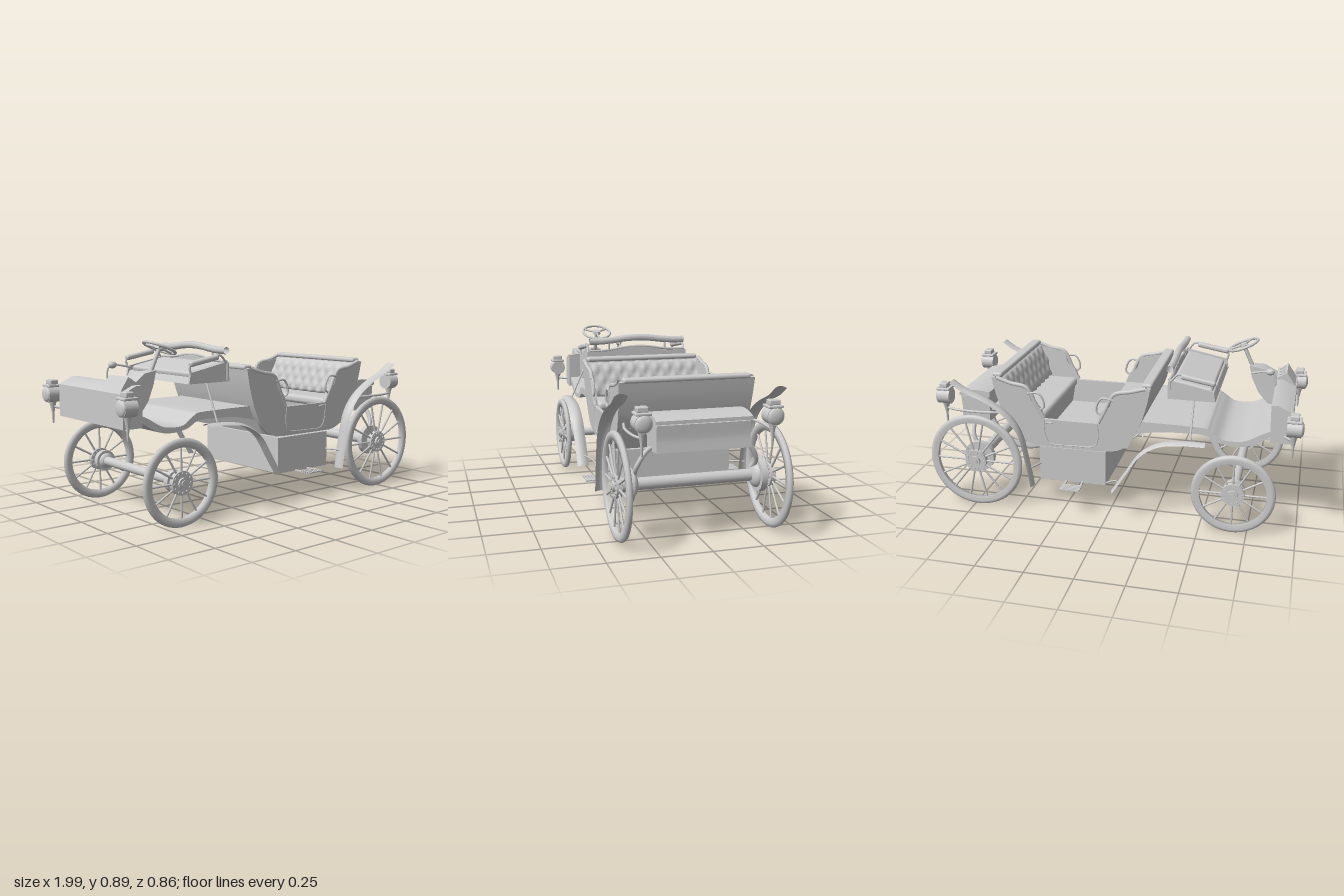
import * as THREE from 'three';
import { toCreasedNormals } from 'three/addons/utils/BufferGeometryUtils.js';
import { RoundedBoxGeometry } from 'three/addons/geometries/RoundedBoxGeometry.js';

const mat = new THREE.MeshStandardMaterial({ color: 0xcccccc, side: THREE.DoubleSide });
const V = (x, y, z) => new THREE.Vector3(x, y, z);
const v2 = pts => pts.map(p => new THREE.Vector2(...p));

function add(parent, name, geo, x = 0, y = 0, z = 0) {
  const m = new THREE.Mesh(geo, mat);
  m.name = name;
  m.position.set(x, y, z);
  parent.add(m);
  return m;
}

const box = (w, h, d, r = 0) => r ? new RoundedBoxGeometry(w, h, d, 3, r) : new THREE.BoxGeometry(w, h, d);
const tube = (pts, r) =>
  new THREE.TubeGeometry(new THREE.CatmullRomCurve3(pts.map(p => V(...p)), false, 'centripetal'), pts.length * 7, r, 8);
const rod = (a, b, r) => new THREE.TubeGeometry(new THREE.LineCurve3(V(...a), V(...b)), 1, r, 8);

// Cylinder lying along z
const drum = (r1, r2, len) => new THREE.CylinderGeometry(r1, r2, len, 28).rotateX(Math.PI / 2);

// Side outline in x/y given a width along z
function slab(outline, zc, depth) {
  const shape = outline instanceof THREE.Shape ? outline : new THREE.Shape(v2(outline));
  const g = new THREE.ExtrudeGeometry(shape, { depth, bevelEnabled: false, curveSegments: 10 });
  return toCreasedNormals(g.translate(0, 0, zc - depth / 2), 0.6);
}

// Outline of a curved plate: a smooth curve plus its offset
function plate(pts, t) {
  const c = new THREE.SplineCurve(v2(pts)), a = [], b = [];
  for (let i = 0; i <= 24; i++) {
    const p = c.getPoint(i / 24), d = c.getTangent(i / 24);
    a.push([p.x, p.y]);
    b.unshift([p.x - d.y * t, p.y + d.x * t]);
  }
  return [...a, ...b];
}

// Tub sides lean outwards with height
const flare = y => 1 + (y - 0.36) * 0.1;
function lean(g) {
  const p = g.attributes.position;
  for (let i = 0; i < p.count; i++) p.setZ(i, p.getZ(i) * flare(p.getY(i)));
  return toCreasedNormals(g, 0.6);
}

// Mudguard: open strip with an arched cross-section
function mudguard(pts, zc) {
  const c = new THREE.SplineCurve(v2(pts)), g = new THREE.PlaneGeometry(1, 1, 8, 28), p = g.attributes.position;
  for (let i = 0; i < p.count; i++) {
    const u = p.getX(i) * 2, t = p.getY(i) + 0.5, q = c.getPoint(t), d = c.getTangent(t);
    const s = 0.012 * u * u;
    p.setXYZ(i, q.x + d.y * s, q.y - d.x * s, zc + u * 0.032);
  }
  g.computeVertexNormals();
  return g;
}

function wheel(parent, name, x, R, s, spokes) {
  const w = new THREE.Group();
  w.name = name;
  w.position.set(x, R, s * 0.386);
  parent.add(w);
  const prof = v2([[R - 0.045, -0.011], [R - 0.02, -0.015], [R - 0.005, -0.011], [R, 0], [R - 0.005, 0.011],
    [R - 0.02, 0.015], [R - 0.045, 0.011], [R - 0.045, -0.011]]);
  add(w, 'rim', new THREE.LatheGeometry(prof, 56).rotateX(Math.PI / 2));
  for (let i = 0; i < spokes; i++) {
    const a = i / spokes * Math.PI * 2, c = Math.cos(a), n = Math.sin(a);
    add(w, 'spoke', rod([c * 0.03, n * 0.03, 0], [c * (R - 0.04), n * (R - 0.04), 0], 0.0055));
    add(w, 'hubBolt', drum(0.006, 0.006, 0.036), c * 0.048, n * 0.048);
  }
  add(w, 'hubFlange', drum(0.06, 0.06, 0.026));
  add(w, 'hub', drum(0.028, 0.028, 0.05));
  add(w, 'hubCap', drum(0.016, 0.016, 0.062));
}

function axle(parent, name, x, y, r, brake) {
  add(parent, name, drum(r, r, 0.66), x, y, 0);
  for (const s of [-1, 1]) {
    add(parent, 'brakeDrum', drum(brake, brake, 0.03), x, y, s * 0.332);
    add(parent, 'axleBell', new THREE.SphereGeometry(brake * 0.75, 24, 14).scale(1, 1, 0.55), x, y, s * 0.318);
    add(parent, 'stub', drum(0.035, 0.035, 0.05), x, y, s * 0.36);
  }
}

function lamp(parent, name, x, z, dir) {
  const l = new THREE.Group();
  l.name = name;
  l.position.set(x, 0.6, z);
  parent.add(l);
  add(l, 'lampBody', new THREE.CylinderGeometry(0.043, 0.043, 0.07, 28).rotateZ(Math.PI / 2));
  add(l, 'lampLens', new THREE.SphereGeometry(0.04, 24, 14).scale(0.38, 1, 1), dir * 0.034);
  add(l, 'lampRoof', box(0.075, 0.014, 0.075, 0.005), 0, 0.044);
  add(l, 'lampChimney', box(0.045, 0.026, 0.055, 0.006), 0, 0.062);
  const tail = v2([[0.001, -0.155], [0.005, -0.15], [0.007, -0.1], [0.013, -0.065], [0.02, -0.04]]);
  add(l, 'lampTail', new THREE.LatheGeometry(tail, 16));
}

// Buttoned seat back, bulging between the tufts; f is the way it faces
function tuftedBack(parent, x, f) {
  const g = new THREE.PlaneGeometry(1, 1, 60, 16), p = g.attributes.position;
  for (let i = 0; i < p.count; i++) {
    const u = p.getX(i), v = p.getY(i) + 0.5;
    const puff = 0.012 * Math.abs(Math.sin(u * 9 * Math.PI + v * 6) * Math.sin(u * 9 * Math.PI - v * 6));
    const roll = 0.035 * Math.sqrt(Math.max(0, 1 - Math.pow(2 * v - 1, 6)));
    p.setXYZ(i, x + f * (puff + roll - v * 0.07), 0.53 + v * 0.205, u * 0.64);
  }
  g.computeVertexNormals();
  add(parent, 'tuftedSeatBack', g);
}

export function createModel() {
  const root = new THREE.Group();
  root.name = 'carriage';

  // Running gear
  for (const s of [-1, 1]) {
    wheel(root, 'frontWheel', -0.67, 0.218, s, 12);
    wheel(root, 'rearWheel', 0.73, 0.264, s, 14);
    add(root, 'frontMudguard', mudguard([[-0.52, 0.488], [-0.4, 0.486], [-0.28, 0.465], [-0.18, 0.4], [-0.1, 0.28], [-0.03, 0.17]], s * 0.388));
    add(root, 'rearMudguard', mudguard([[0.4, 0.15], [0.425, 0.3], [0.46, 0.45], [0.53, 0.55], [0.64, 0.625], [0.76, 0.675], [0.83, 0.72]], s * 0.388));
    add(root, 'frontMudguardStay', tube([[-0.06, 0.22, s * 0.38], [-0.03, 0.2, s * 0.34], [0.03, 0.16, s * 0.3]], 0.005));
    add(root, 'rearMudguardStay', rod([0.38, 0.25, s * 0.3], [0.42, 0.25, s * 0.39], 0.005));
    // Slatted step
    for (let i = 0; i < 5; i++) add(root, 'stepSlat', box(0.11, 0.006, 0.009), 0.195, 0.16, s * (0.365 + i * 0.015));
    for (const x of [0.15, 0.24]) add(root, 'stepBracket', box(0.01, 0.008, 0.13), x, 0.158, s * 0.365);
  }
  axle(root, 'frontAxle', -0.67, 0.218, 0.024, 0.055);
  axle(root, 'rearAxle', 0.73, 0.268, 0.03, 0.085);
  add(root, 'underBox', box(0.37, 0.195, 0.626), 0.205, 0.2525, 0);

  // Tub: curved end panels, floor and winged sides
  const front = [[-0.225, 0.735], [-0.205, 0.64], [-0.17, 0.53], [-0.12, 0.435], [-0.06, 0.38], [0.03, 0.362]];
  const rear = [[0.39, 0.362], [0.45, 0.38], [0.52, 0.435], [0.575, 0.53], [0.61, 0.64], [0.63, 0.735]];
  add(root, 'tubFrontPanel', lean(slab(plate(front, 0.02), 0, 0.66)));
  add(root, 'tubRearPanel', lean(slab(plate(rear, 0.02), 0, 0.66)));
  add(root, 'tubFloor', box(0.42, 0.022, 0.65), 0.2, 0.373, 0);
  const side = new THREE.Shape();
  side.moveTo(-0.225, 0.735);
  side.splineThru(v2(front.slice(1)));
  side.lineTo(0.39, 0.362);
  side.splineThru(v2(rear.slice(1)));
  side.lineTo(0.57, 0.715);
  side.lineTo(0.44, 0.69);
  side.bezierCurveTo(0.42, 0.66, 0.43, 0.62, 0.39, 0.6);
  side.bezierCurveTo(0.36, 0.585, 0.36, 0.55, 0.35, 0.52);
  side.lineTo(0.055, 0.52);
  side.bezierCurveTo(0.045, 0.55, 0.045, 0.585, 0.015, 0.6);
  side.bezierCurveTo(-0.025, 0.62, -0.015, 0.66, -0.035, 0.69);
  side.lineTo(-0.16, 0.715);
  side.closePath();
  for (const s of [-1, 1]) {
    add(root, 'tubSide', lean(slab(side, s * 0.325, 0.018)));
    const z = y => s * 0.327 * flare(y);
    const edge = pts => pts.map(([x, y]) => [x, y, z(y)]);
    add(root, 'frontArmRoll', tube(edge([[-0.2, 0.735], [-0.12, 0.712], [-0.04, 0.693], [-0.015, 0.66], [0.01, 0.605], [0.05, 0.525]]), 0.011));
    add(root, 'rearArmRoll', tube(edge([[0.605, 0.735], [0.53, 0.71], [0.445, 0.693], [0.42, 0.66], [0.395, 0.605], [0.352, 0.525]]), 0.011));
    for (const [x, d] of [[0, 1], [0.405, -1]])
      add(root, 'grabHandle', tube([[x - d * 0.03, 0.66], [x + d * 0.03, 0.665], [x + d * 0.055, 0.63], [x + d * 0.058, 0.59], [x + d * 0.04, 0.575]]
        .map(([a, b]) => [a, b, z(b) + s * 0.006]), 0.006));
    add(root, 'doorSeam', tube([[0.055, 0.515], [0.055, 0.43], [0.075, 0.39], [0.2, 0.38], [0.32, 0.385], [0.345, 0.43], [0.35, 0.515]]
      .map(([a, b]) => [a, b, s * 0.334 * flare(b)]), 0.003));
    add(root, 'doorHandle', box(0.04, 0.008, 0.012, 0.003), 0.32, 0.505, s * 0.343);
  }

  // Passenger benches, mirrored about the middle of the tub
  for (const f of [1, -1]) {
    const X = d => 0.203 - f * d;
    add(root, 'benchBase', slab([[X(0.3), 0.385], [X(0.185), 0.385], [X(0.165), 0.5], [X(0.36), 0.5]], 0, 0.63));
    add(root, 'benchCushion', box(0.2, 0.05, 0.635, 0.022), X(0.25), 0.515, 0);
    tuftedBack(root, X(0.345), f);
    add(root, 'backRestBody', slab([[X(0.33), 0.5], [X(0.35), 0.5], [X(0.425), 0.74], [X(0.39), 0.74]], 0, 0.63));
    add(root, 'backRestRoll', box(0.055, 0.026, 0.65, 0.012), X(0.405), 0.742, 0);
  }

  // Sweeping front deck
  const deckTop = [[-0.86, 0.56], [-0.79, 0.525], [-0.72, 0.485], [-0.66, 0.474], [-0.59, 0.48], [-0.53, 0.52], [-0.47, 0.535], [-0.14, 0.538]];
  const deckLow = [[-0.14, 0.465], [-0.25, 0.487], [-0.38, 0.495], [-0.5, 0.494], [-0.57, 0.46], [-0.66, 0.447], [-0.74, 0.46], [-0.82, 0.505], [-0.86, 0.53]];
  const smooth = pts => new THREE.SplineCurve(v2(pts)).getPoints(30).map(p => [p.x, p.y]);
  add(root, 'frontDeck', slab([...smooth(deckTop), ...smooth(deckLow)], 0, 0.6));

  // Dash box, instruments and steering
  add(root, 'dashBox', slab([[-0.94, 0.49], [-0.835, 0.49], [-0.83, 0.69], [-0.865, 0.69], [-0.94, 0.655]], 0, 0.62));
  add(root, 'instrumentPanel', slab([[-0.935, 0.655], [-0.835, 0.665], [-0.832, 0.695], [-0.885, 0.73]], 0.19, 0.17));
  for (const z of [0.14, 0.19, 0.24])
    add(root, 'dial', new THREE.CylinderGeometry(0.017, 0.017, 0.008, 20), -0.858, 0.714, z).rotation.z = -0.58;
  const cowl = slab([[-0.835, 0.69], [-0.76, 0.735], [-0.68, 0.745], [-0.695, 0.68], [-0.735, 0.6], [-0.79, 0.545], [-0.835, 0.54]], 0, 0.14);
  const cp = cowl.attributes.position;
  for (let i = 0; i < cp.count; i++) cp.setZ(i, cp.getZ(i) * THREE.MathUtils.clamp((-0.6 - cp.getX(i)) * 4.4, 0.4, 1));
  add(root, 'columnCowl', cowl, 0, 0, 0.17);
  add(root, 'steeringColumn', rod([-0.72, 0.68, 0.17], [-0.64, 0.85, 0.17], 0.011));
  const sw = new THREE.Group();
  sw.name = 'steeringWheel';
  sw.position.set(-0.64, 0.852, 0.17);
  sw.rotation.z = -0.4;
  root.add(sw);
  add(sw, 'steeringRim', new THREE.TorusGeometry(0.082, 0.0075, 10, 40).rotateX(Math.PI / 2));
  add(sw, 'steeringBoss', new THREE.CylinderGeometry(0.02, 0.024, 0.018, 20));
  for (let i = 0; i < 3; i++) {
    const a = i * Math.PI * 2 / 3;
    add(sw, 'steeringSpoke', rod([0, 0, 0], [Math.cos(a) * 0.08, 0, Math.sin(a) * 0.08], 0.006));
  }
  add(root, 'handLever', tube([[-0.83, 0.66, -0.01], [-0.825, 0.75, -0.01], [-0.8, 0.765, -0.01], [-0.7, 0.75, 0]], 0.005));
  add(root, 'leverKnob', new THREE.SphereGeometry(0.018, 16, 12).scale(1.3, 1, 1), -0.8, 0.765, -0.01);

  // Driver's bench
  add(root, 'driverSeatBase', slab([[-0.55, 0.675], [-0.305, 0.675], [-0.31, 0.755], [-0.535, 0.705]], 0, 0.56));
  add(root, 'driverCushion', box(0.21, 0.035, 0.53, 0.015), -0.425, 0.735, 0).rotation.z = 0.2;
  const arch = (y, rise) => [-0.285, -0.22, -0.15, -0.07, 0, 0.07, 0.15, 0.22, 0.285]
    .map(z => [-0.312, y + rise * Math.max(0, Math.cos(z * 8.5)), z]);
  const panel = new THREE.Shape(v2([[-0.3, 0.68], [0.3, 0.68], [0.3, 0.77], [0.17, 0.77], [0.1, 0.785], [0, 0.797], [-0.1, 0.785], [-0.17, 0.77], [-0.3, 0.77]]));
  add(root, 'driverBackPanel', new THREE.ExtrudeGeometry(panel, { depth: 0.012, bevelEnabled: false }).rotateY(Math.PI / 2), -0.318);
  add(root, 'driverBackEdge', tube(arch(0.775, 0.022), 0.007));
  add(root, 'driverBackRest', tube(arch(0.83, 0.018), 0.019));
  for (const s of [-1, 1]) {
    add(root, 'backRestPost', rod([-0.312, 0.76, s * 0.17], [-0.312, 0.83, s * 0.17], 0.006));
    add(root, 'seatSidePanel', slab([[-0.55, 0.675], [-0.305, 0.675], [-0.308, 0.775], [-0.54, 0.73]], s * 0.285, 0.014));
    add(root, 'armPad', box(0.18, 0.028, 0.032, 0.012), -0.46, 0.787, s * 0.292).rotation.z = 0.17;
    add(root, 'armRail', tube([[-0.54, 0.72, s * 0.292], [-0.545, 0.765, s * 0.292], [-0.46, 0.785, s * 0.292], [-0.36, 0.81, s * 0.292], [-0.32, 0.77, s * 0.292]], 0.006));
    add(root, 'seatStay', rod([-0.44, 0.69, s * 0.28], [-0.44, 0.49, s * 0.37], 0.005));
  }

  // Rear trunk with arched lid
  add(root, 'trunk', slab(plate([[0.705, 0.43], [0.7, 0.5], [0.705, 0.58]], -0.16), 0, 0.46));
  const lid = new THREE.Shape(v2([[0.695, 0.575], [0.872, 0.575], [0.872, 0.592]]));
  lid.quadraticCurveTo(0.79, 0.625, 0.695, 0.605);
  add(root, 'trunkLid', slab(lid, 0, 0.472));
  add(root, 'trunkShelf', box(0.14, 0.02, 0.4), 0.64, 0.5, 0);

  // Lamps and their arms
  for (const s of [-1, 1]) {
    lamp(root, 'frontLamp', -0.95, s * 0.367, -1);
    lamp(root, 'rearLamp', 0.915, s * 0.315, 1);
    add(root, 'frontLampArm', tube([[-0.9, 0.53, s * 0.3], [-0.93, 0.53, s * 0.34], [-0.95, 0.535, s * 0.367]], 0.007));
    add(root, 'rearLampArm', tube([[0.57, 0.527, s * 0.31], [0.7, 0.527, s * 0.335], [0.85, 0.527, s * 0.33], [0.915, 0.53, s * 0.315]], 0.007));
    add(root, 'rearBrace', tube([[0.72, 0.3, s * 0.3], [0.77, 0.36, s * 0.3], [0.78, 0.44, s * 0.25], [0.76, 0.45, s * 0.2]], 0.012));
  }
  return root;
}
